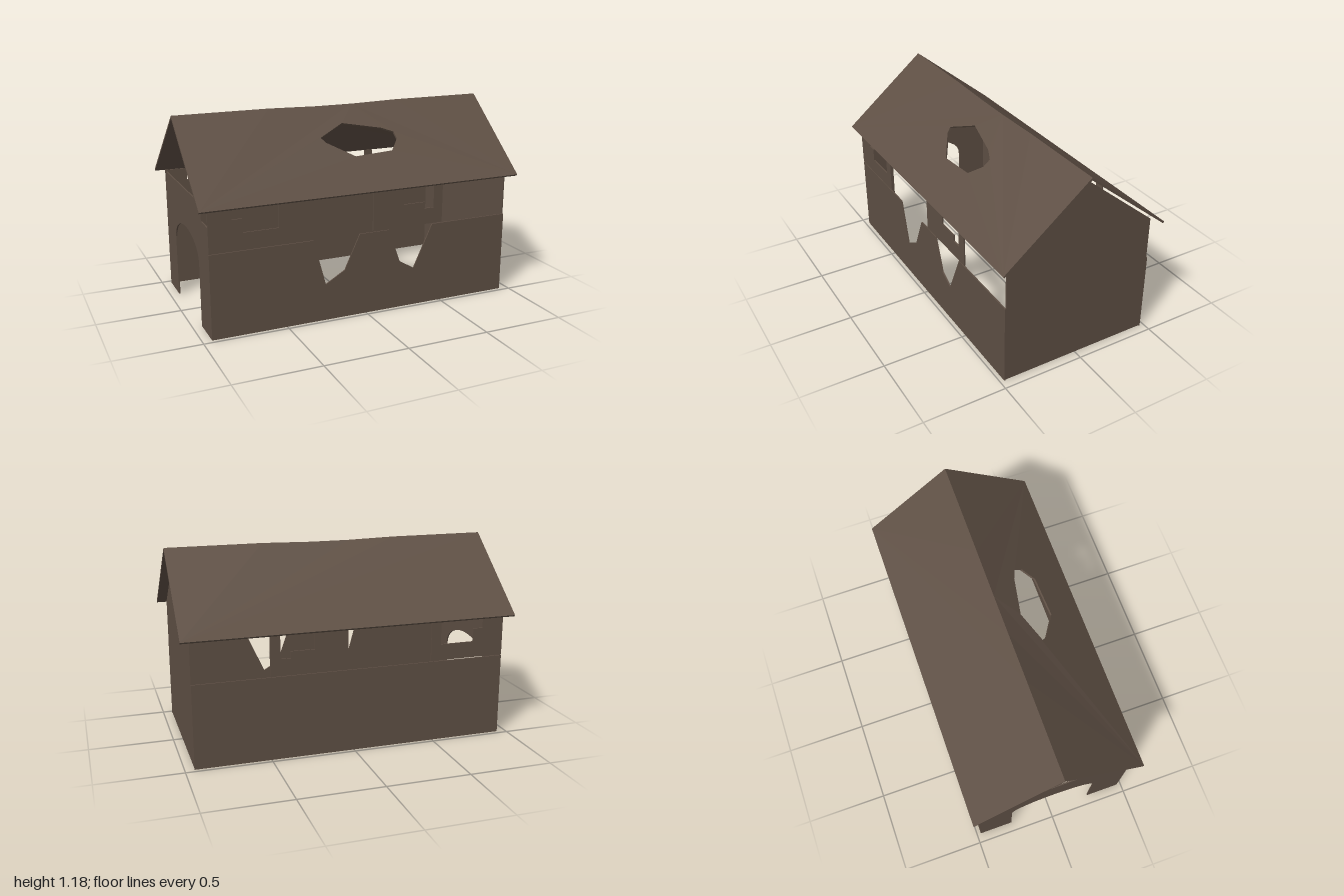
import * as THREE from 'three';

const T = 0.008; // wall thickness
const W = 0.945, D = 0.475; // half width and half depth of the walls
const EAVE = 0.755, RIDGE = 1.18, ROOF_Z = 0.52;

const shapeOf = (pts) => new THREE.Shape(pts.map(([x, y]) => new THREE.Vector2(x, y)));
const slab = (shape, depth = T) => new THREE.ExtrudeGeometry(shape, { depth, bevelEnabled: false, curveSegments: 8 });

export function createModel() {
  const house = new THREE.Group();
  house.name = 'ruinedHouse';
  const timber = new THREE.MeshStandardMaterial({ color: 0x5e4f44 });
  timber.name = 'weathered brown';
  timber.side = THREE.DoubleSide;

  const add = (name, geometry, x = 0, y = 0, z = 0) => {
    const mesh = new THREE.Mesh(geometry, timber);
    mesh.name = name;
    mesh.position.set(x, y, z);
    house.add(mesh);
    return mesh;
  };

  // Lower walls: the front one is broken in two places
  const top = 0.497;
  add('frontLowerWall', slab(shapeOf([
    [-W, 0], [W, 0], [W, top],
    [0.435, top], [0.315, 0.235], [0.22, 0.29], [0.145, top],
    [-0.045, top], [-0.14, 0.29], [-0.26, 0.22], [-0.335, top],
    [-W, top],
  ])), 0, 0, D - T);
  add('backLowerWall', slab(shapeOf([[-W, 0], [W, 0], [W, top], [-W, top]])), 0, 0, -D);

  // Upper panels with stepped gaps, the same on both long sides
  const low = 0.503;
  const panels = {
    RightPanel: [
      [-W, low], [-0.48, low], [-0.48, EAVE], [-0.54, EAVE], [-0.54, 0.6],
      [-0.75, 0.6], [-0.75, 0.68], [-0.81, 0.68], [-0.81, EAVE], [-W, EAVE],
    ],
    LeftPanel: [
      [0.04, low], [0.5, low], [0.5, EAVE], [0.44, EAVE], [0.44, 0.6],
      [0.38, 0.6], [0.38, 0.64], [0.24, 0.64], [0.24, EAVE], [0.04, EAVE],
    ],
  };
  for (const [name, pts] of Object.entries(panels)) {
    add('front' + name, slab(shapeOf(pts)), 0, 0, D - T);
    add('back' + name, slab(shapeOf(pts)), 0, 0, -D);
  }

  // Solid gable end
  const g = D - T;
  add('gableWall', slab(shapeOf([[-g, 0.005], [g, 0.005], [g, 0.76], [0, 1.145], [-g, 0.76]]))
    .rotateY(-Math.PI / 2), W);

  // Open end wall with an arched doorway and chipped top corners
  const arch = new THREE.Shape();
  arch.moveTo(-g, 0).lineTo(-0.265, 0).lineTo(-0.265, 0.38);
  arch.absellipse(0, 0.38, 0.265, 0.14, Math.PI, 0, true, 0);
  arch.lineTo(0.265, 0).lineTo(g, 0).lineTo(g, 0.65).lineTo(0.345, 0.65).lineTo(0.345, 0.75);
  arch.lineTo(-0.44, 0.75).lineTo(-0.44, 0.68).lineTo(-g, 0.68);
  add('archWall', slab(arch).rotateY(-Math.PI / 2), -W + T);

  // Roof slopes, drawn flat and tilted, with a slightly sagging ridge
  const drop = RIDGE - EAVE;
  const slope = Math.hypot(ROOF_Z, drop);
  const roofT = 0.012;
  const makeRoof = (hole) => {
    const shape = shapeOf([
      [-1, -slope], [1, -slope], [1, 0], [0.42, 0], [0.12, 0], [-0.12, 0], [-0.42, 0], [-1, 0],
    ]);
    if (hole) {
      shape.holes.push(new THREE.Path(hole.map(([x, z]) => new THREE.Vector2(x, -z * slope / ROOF_Z))));
    }
    const geo = slab(shape, roofT);
    geo.translate(0, 0, -roofT).rotateX(-Math.atan2(ROOF_Z, drop)).translate(0, RIDGE, 0);
    const p = geo.attributes.position;
    for (let i = 0; i < p.count; i++) {
      if (p.getY(i) > 1.15 && Math.abs(p.getX(i)) < 0.2) p.setY(i, p.getY(i) - 0.007);
    }
    geo.computeVertexNormals();
    return geo;
  };
  add('frontRoof', makeRoof([
    [-0.17, 0.195], [0, 0.12], [0.24, 0.168], [0.31, 0.197],
    [0.31, 0.24], [0.245, 0.305], [0, 0.318], [-0.15, 0.225],
  ]));
  add('backRoof', makeRoof().rotateY(Math.PI));

  return house;
}
